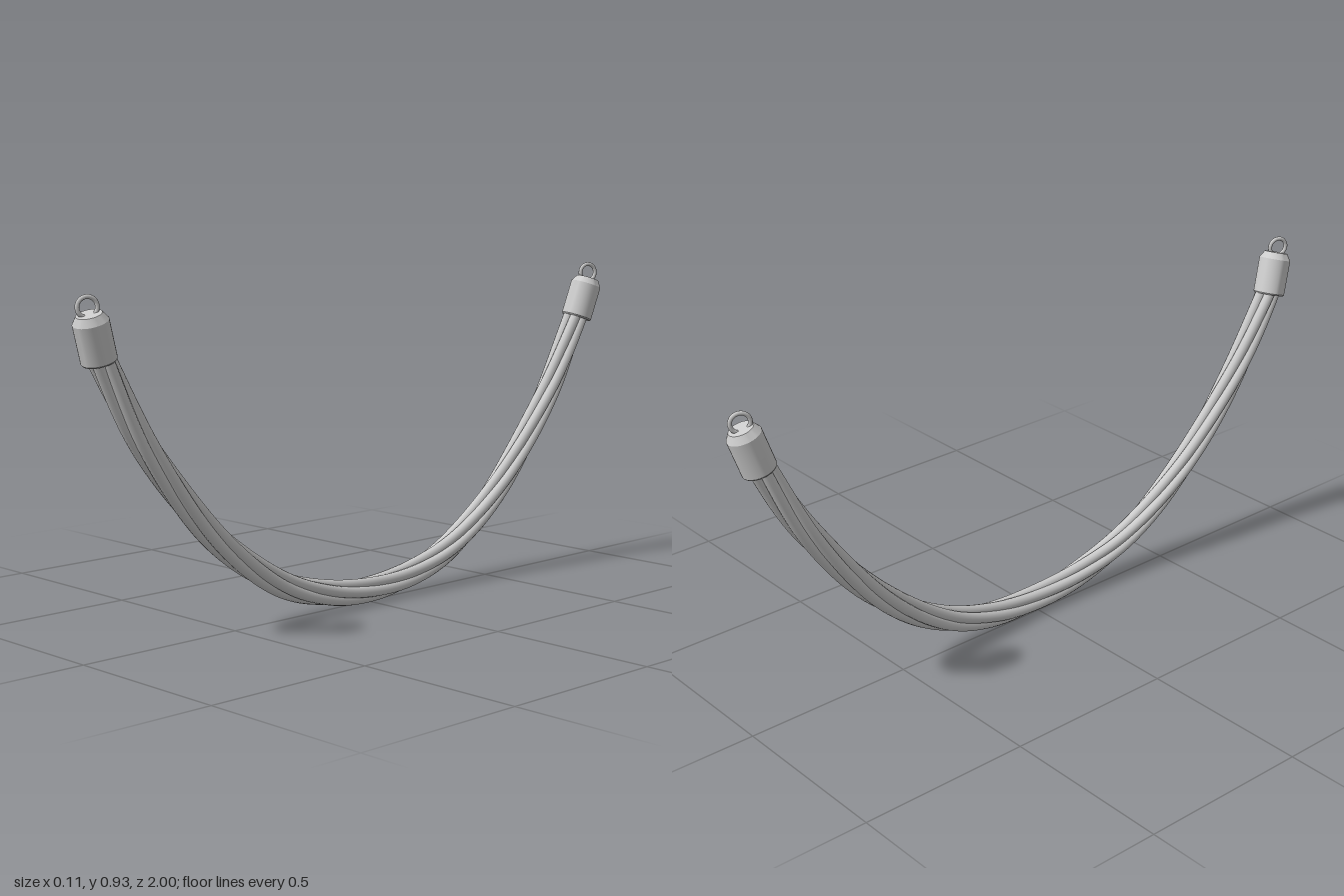
import * as THREE from 'three';
import { toCreasedNormals } from 'three/addons/utils/BufferGeometryUtils.js';

const material = new THREE.MeshStandardMaterial({ color: 0xcccccc });
const STRANDS = 5, TURNS = 1.35, TWIST_RADIUS = 0.022, STRAND_RADIUS = 0.016;

// Sagging centre line, from the front end to the back end
const centreLine = new THREE.CatmullRomCurve3([
  [-0.005, 0.81, 0.94], [-0.005, 0.74, 0.908], [0, 0.53, 0.79], [0.008, 0.27, 0.575],
  [0.015, 0.115, 0.36], [0.016, 0.055, 0.18], [0.01, 0.038, 0], [0, 0.055, -0.18],
  [-0.008, 0.115, -0.36], [-0.014, 0.27, -0.575], [-0.012, 0.53, -0.79],
  [-0.008, 0.74, -0.908], [-0.006, 0.81, -0.94],
].map((p) => new THREE.Vector3(...p)));

// One strand winding around the centre line
class StrandCurve extends THREE.Curve {
  constructor(phase) {
    super();
    this.phase = phase;
  }
  getPoint(t, target = new THREE.Vector3()) {
    const tangent = centreLine.getTangentAt(t);
    const up = new THREE.Vector3().crossVectors(tangent, new THREE.Vector3(1, 0, 0)).normalize();
    if (up.y < 0) up.negate();
    const side = new THREE.Vector3().crossVectors(up, tangent).normalize();
    if (side.x < 0) side.negate();
    const a = this.phase + t * TURNS * Math.PI * 2;
    return target.copy(centreLine.getPointAt(t))
      .addScaledVector(side, Math.sin(a) * TWIST_RADIUS)
      .addScaledVector(up, Math.cos(a) * TWIST_RADIUS);
  }
}

function addMesh(parent, geometry, name) {
  const mesh = new THREE.Mesh(geometry, material);
  mesh.name = name;
  parent.add(mesh);
  return mesh;
}

export function createModel() {
  const group = new THREE.Group();
  group.name = 'ropeSwag';

  // Twisted rope
  const rope = new THREE.Group();
  rope.name = 'rope';
  group.add(rope);
  for (let i = 0; i < STRANDS; i++) {
    const curve = new StrandCurve((i / STRANDS) * Math.PI * 2);
    addMesh(rope, new THREE.TubeGeometry(curve, 120, STRAND_RADIUS, 12), 'strand' + (i + 1));
  }

  // End cap with a chamfered top
  const profile = [[0, 0], [0.044, 0], [0.047, 0.004], [0.047, 0.108], [0.034, 0.128], [0, 0.128]]
    .map((p) => new THREE.Vector2(...p));
  const capGeometry = toCreasedNormals(new THREE.LatheGeometry(profile, 32), 0.5);
  const ringGeometry = new THREE.TorusGeometry(0.026, 0.006, 10, 32);

  // Cap and hanging ring at each end
  for (const [end, s] of [['front', 1], ['back', -1]]) {
    const cap = addMesh(group, capGeometry, end + 'Cap');
    cap.position.set(-0.008, 0.76, s * 0.925);
    cap.quaternion.setFromUnitVectors(
      new THREE.Vector3(0, 1, 0), new THREE.Vector3(0.1, 0.95, s * 0.3).normalize());
    const ring = addMesh(group, ringGeometry, end + 'Ring');
    ring.position.set(0.002, 0.899, s * 0.966);
    ring.rotation.y = THREE.MathUtils.degToRad(70);
  }
  return group;
}
